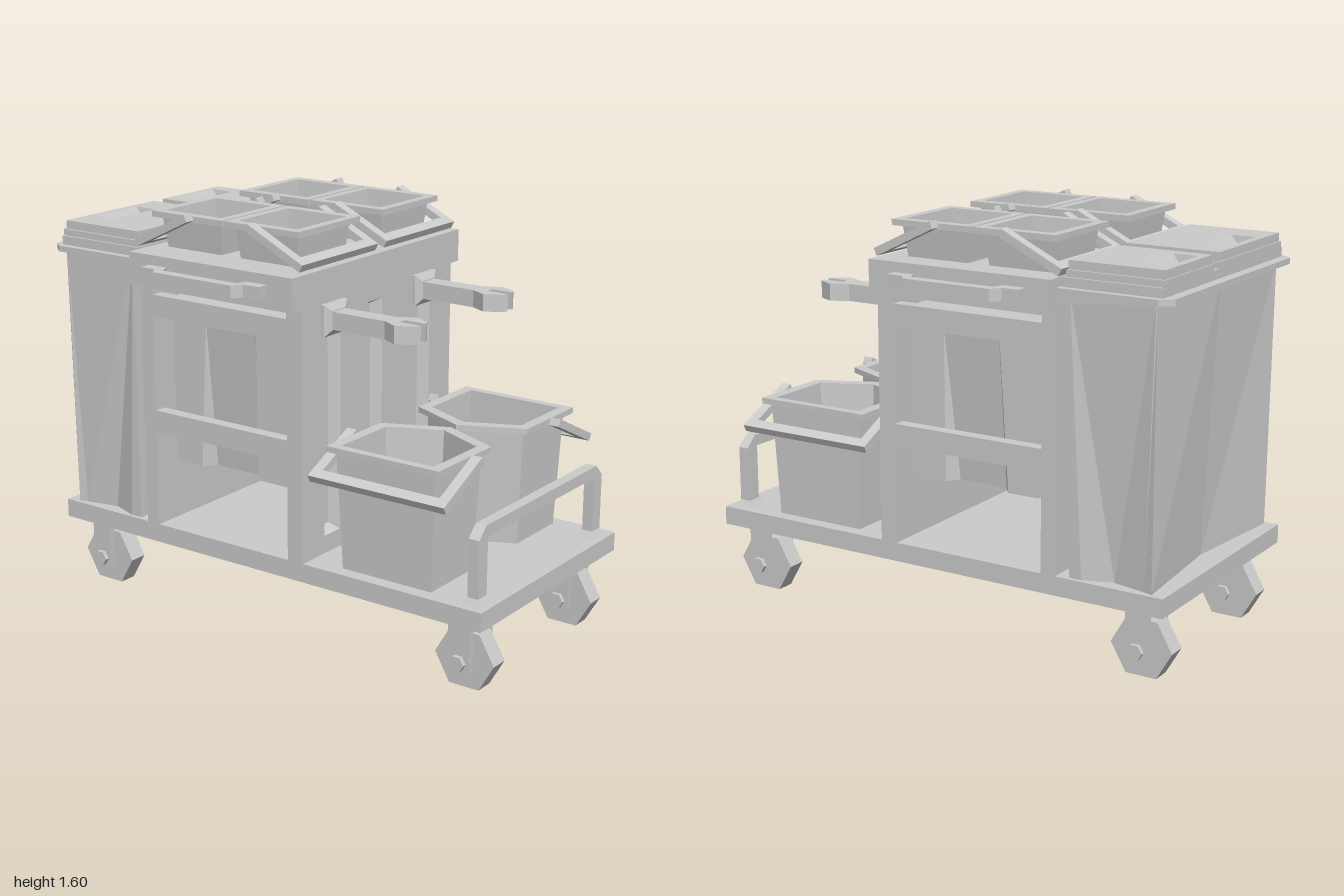
import * as THREE from 'three';

const mat = new THREE.MeshStandardMaterial({ color: 0xcccccc, flatShading: true });

function add(parent, name, geo) {
  const m = new THREE.Mesh(geo, mat);
  m.name = name;
  parent.add(m);
  return m;
}

// Box given by its limits on each axis
function box(parent, name, x0, x1, y0, y1, z0, z1) {
  const g = new THREE.BoxGeometry(x1 - x0, y1 - y0, z1 - z0);
  g.translate((x0 + x1) / 2, (y0 + y1) / 2, (z0 + z1) / 2);
  return add(parent, name, g);
}

const vecs = (pts) => pts.map(([x, y]) => new THREE.Vector2(x, y));
const rect = (x0, x1, y0, y1) => [[x0, y0], [x1, y0], [x1, y1], [x0, y1]];

function extrude(pts, holes, depth) {
  const s = new THREE.Shape(vecs(pts));
  holes.forEach((h) => s.holes.push(new THREE.Path(vecs(h))));
  return new THREE.ExtrudeGeometry(s, { depth, bevelEnabled: false });
}

// Horizontal slab with an x,z outline
function slab(parent, name, pts, y0, y1, holes = []) {
  return add(parent, name, extrude(pts, holes, y1 - y0).rotateX(Math.PI / 2).translate(0, y1, 0));
}

// Skin over rings [y, [[x,z]...]] with both ends closed
function loft(parent, name, rings) {
  const flip = THREE.ShapeUtils.area(vecs(rings[0][1])) > 0;
  const R = rings.map(([y, p]) => (flip ? [...p].reverse() : p).map(([x, z]) => [x, y, z]));
  const n = R[0].length, pos = [];
  const tri = (a, b, c) => pos.push(...a, ...b, ...c);
  const mid = (r) => [0, 1, 2].map((k) => r.reduce((s, p) => s + p[k], 0) / n);
  const last = R[R.length - 1];
  for (let i = 0; i < n; i++) {
    const j = (i + 1) % n;
    for (let k = 0; k + 1 < R.length; k++) {
      tri(R[k][i], R[k][j], R[k + 1][j]);
      tri(R[k][i], R[k + 1][j], R[k + 1][i]);
    }
    tri(R[0][j], R[0][i], mid(R[0]));
    tri(last[i], last[j], mid(last));
  }
  const g = new THREE.BufferGeometry();
  g.setAttribute('position', new THREE.Float32BufferAttribute(pos, 3));
  g.computeVertexNormals();
  return add(parent, name, g);
}

// Loft along +z whose rings are [z, [[x,y]...]]
function loftForward(parent, name, rings) {
  const m = loft(parent, name, rings.map(([z, p]) => [z, p.map(([x, y]) => [x, -y])]));
  m.geometry.rotateX(Math.PI / 2);
}

// Hollow pail: rim outline scaled about a centre, steps are [scale, y]
function pail(parent, name, outline, cx, cz, steps) {
  return loft(parent, name, steps.map(([s, y]) =>
    [y, outline.map(([x, z]) => [cx + (x - cx) * s, cz + (z - cz) * s])]));
}

// Tilted U-shaped bail; arms rise from the low cross bar
function bail(parent, x, y, z, turn, width) {
  const g = new THREE.Group(), tilt = new THREE.Group(), w = width / 2;
  g.name = 'bucketHandle';
  g.position.set(x, y, z);
  g.rotation.y = turn;
  tilt.rotation.x = 0.45;
  box(tilt, 'handleBar', -w, w, -0.015, 0.015, -0.042, 0);
  for (const s of [-1, 1]) {
    const a = s * w, b = s * (w - 0.042);
    box(tilt, 'handleArm', Math.min(a, b), Math.max(a, b), -0.015, 0.015, -0.275, -0.042);
  }
  g.add(tilt);
  parent.add(g);
}

function caster(parent, x, z) {
  const g = new THREE.Group();
  g.name = 'caster';
  const hex = (name, r, w) =>
    add(g, name, new THREE.CylinderGeometry(r, r, w, 6).rotateZ(Math.PI / 2).translate(0, 0.108, 0));
  hex('wheel', 0.125, 0.075);
  hex('axle', 0.032, 0.19);
  for (const s of [-1, 1]) box(g, 'forkPlate', s * 0.066 - 0.012, s * 0.066 + 0.012, 0.075, 0.28, -0.046, 0.046);
  box(g, 'forkTop', -0.078, 0.078, 0.255, 0.28, -0.046, 0.046);
  g.position.set(x, 0, z);
  parent.add(g);
}

export function createModel() {
  const root = new THREE.Group();
  root.name = 'cleaningTrolley';

  // Base and casters
  box(root, 'base', -0.492, 0.492, 0.276, 0.35, -0.988, 1);
  for (const x of [-0.358, 0.358]) for (const z of [-0.857, 0.875]) caster(root, x, z);

  // Cabinet: front wall with sloped grooves, back wall, top
  const grooves = [[-0.355, -0.255, 0.42, 1.21], [-0.078, 0.016, 0.4, 1.272], [0.243, 0.343, 0.42, 1.21]];
  add(root, 'frontPanel', extrude(rect(-0.492, 0.492, 0.35, 1.32), grooves.map((g) => rect(...g)), 0.045))
    .position.z = 0.175;
  box(root, 'frontPanelBack', -0.492, 0.492, 0.35, 1.32, 0.15, 0.175);
  for (const [x0, x1, y0, y1] of grooves) {
    const edge = rect(x0, x1, y0, y1);
    loftForward(root, 'groove', [[0.174, edge], [0.22, edge], [0.178, rect(x0 + 0.022, x1 - 0.022, y0 + 0.022, y1 - 0.022)]]);
  }
  box(root, 'backPanel', -0.492, 0.492, 0.35, 1.32, -0.55, -0.49);
  box(root, 'cabinetTop', -0.545, 0.545, 1.32, 1.448, -0.555, 0.22);
  for (const s of [-1, 1]) {
    for (const [y0, y1] of [[0.735, 0.82], [1.195, 1.28]]) {
      box(root, 'sideRail', s * 0.467 - 0.025, s * 0.467 + 0.025, y0, y1, -0.49, 0.15);
    }
    // Push handle on two stubs
    const h = [[0.54, 0.105], [0.59, 0.105], [0.592, 0.035], [0.632, 0.01], [0.632, -0.36], [0.592, -0.385],
      [0.59, -0.455], [0.54, -0.455], [0.54, -0.37], [0.588, -0.35], [0.588, 0], [0.54, 0.02]];
    slab(root, 'sideHandle', h.map(([x, z]) => [s * x, z]), 1.363, 1.41);

    // Folded bag hanging inside the cabinet
    const fold = (o, i, zs) => [
      ...[o, o, i, i, o, o].map((x, k) => [s * (0.24 + x), zs[k]]),
      ...[o, o, i, i, o, o].map((x, k) => [s * (0.24 - x), zs[5 - k]])];
    loft(root, 'hangingBag', [
      [0.61, fold(0.19, 0.14, [0.11, -0.035, -0.07, -0.275, -0.312, -0.44])],
      [1.18, fold(0.195, 0.194, [0.11, -0.035, -0.038, -0.275, -0.278, -0.44])],
      [1.27, fold(0.195, 0.194, [0.11, -0.035, -0.038, -0.275, -0.278, -0.44])]]);
  }

  // Four small buckets on top
  for (const cx of [-0.246, 0.281]) {
    for (const [cz, dir] of [[-0.006, 1], [-0.36, -1]]) {
      pail(root, 'topBucket', rect(cx - 0.19, cx + 0.19, cz - 0.172, cz + 0.172), cx, cz,
        [[0.76, 1.445], [0.84, 1.567], [1, 1.567], [1, 1.59], [0.79, 1.59], [0.72, 1.46]]);
      bail(root, cx, 1.47, dir > 0 ? 0.21 : -0.575, dir > 0 ? 0 : Math.PI, 0.472);
    }
  }

  // Tool clamps on bevelled plates
  for (const cx of [-0.307, 0.286]) {
    const plate = (w, h) => rect(cx - w, cx + w, 1.26 - h, 1.26 + h);
    loftForward(root, 'clampPlate', [[0.215, plate(0.072, 0.06)], [0.236, plate(0.072, 0.06)], [0.252, plate(0.042, 0.036)]]);
    const claw = [[-0.038, 0.24], [-0.038, 0.48], [-0.073, 0.545], [-0.04, 0.61], [-0.016, 0.62], [-0.016, 0.53],
      [0.016, 0.53], [0.016, 0.62], [0.04, 0.61], [0.073, 0.545], [0.038, 0.48], [0.038, 0.24]];
    slab(root, 'clampArm', claw.map(([x, z]) => [cx + x, z]), 1.225, 1.292);
  }

  // Two large buckets on the front deck
  for (const s of [-1, 1]) {
    const rim = [[0.475, 0.316], [0.13, 0.316], [0.018, 0.56], [0.13, 0.804], [0.475, 0.804]].map(([x, z]) => [s * x, z]);
    pail(root, 'deckBucket', rim, s * 0.285, 0.562,
      [[0.8, 0.35], [0.88, 0.805], [1, 0.805], [1, 0.828], [0.82, 0.828], [0.74, 0.37]]);
    bail(root, s * 0.52, 0.706, 0.565, s * Math.PI / 2, 0.59);
  }

  // Guard rail at the front edge
  const rail = [[-0.445, 0.35], [-0.445, 0.595], [-0.4, 0.64], [0.4, 0.64], [0.445, 0.595], [0.445, 0.35],
    [0.387, 0.35], [0.387, 0.595], [-0.387, 0.595], [-0.387, 0.35]];
  add(root, 'guardRail', extrude(rail, [], 0.044)).position.z = 0.913;
  for (const x of [-0.416, 0.416]) {
    const foot = (a, b) => rect(x - a, x + a, 0.935 - b, 0.935 + b);
    loft(root, 'railFoot', [[0.35, foot(0.045, 0.037)], [0.375, foot(0.03, 0.023)]]);
  }

  // Creased waste bag at the back, its sides drawn in at the bottom
  const low = [[0.475, -0.6], [0.475, -0.65], [0.435, -0.765], [0.465, -0.9], [0.475, -0.935]];
  const high = [[0.487, -0.592], [0.487, -0.594], [0.487, -0.6], [0.487, -0.935], [0.485, -0.94]];
  const loop = (half, zMid) => [...half, [0, zMid], ...[...half].reverse().map(([x, z]) => [-x, z])];
  loft(root, 'wasteBag', [[0.35, loop(low, -0.89)], [1.395, loop(high, -0.94)]]);

  // Bag frame, deeper toward the cabinet, and two lids with finger recesses
  slab(root, 'bagFrame', [[-0.513, -0.56], [-0.513, -0.955], [-0.475, -1], [0.475, -1], [0.513, -0.955], [0.513, -0.56]],
    1.392, 1.415);
  loftForward(root, 'frameWedge', [[-0.935, rect(-0.497, 0.497, 1.39, 1.4)], [-0.56, rect(-0.497, 0.497, 1.355, 1.4)]]);
  box(root, 'frameCollar', -0.485, 0.485, 1.415, 1.45, -0.96, -0.57);
  for (const [x0, x1, h0, h1] of [[-0.465, 0.045, -0.325, -0.09], [0.105, 0.465, 0.155, 0.395]]) {
    box(root, 'lidBase', x0 - 0.01, x1 + 0.01, 1.45, 1.475, -0.96, -0.575);
    const recess = rect(h0, h1, -0.925, -0.825);
    slab(root, 'lid', rect(x0, x1, -0.955, -0.58), 1.475, 1.508, [recess]);
    loft(root, 'lidRecess', [[1.474, recess], [1.508, recess], [1.478, rect(h0 + 0.005, h1 - 0.005, -0.9, -0.85)]]);
  }
  return root;
}
